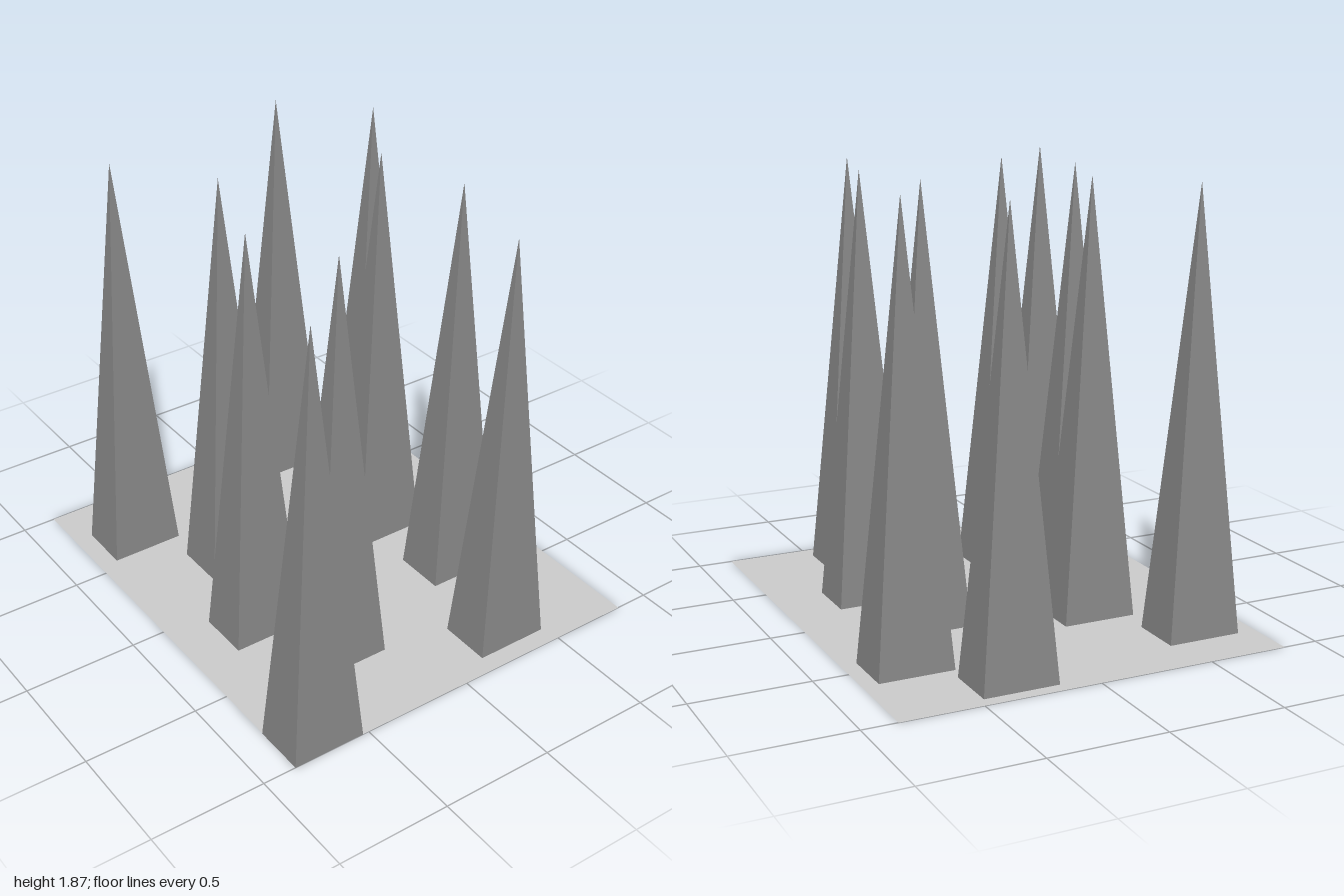
import * as THREE from 'three';

const HEIGHT = 1.87;
const SPIKE_WIDTH = 0.325;
const SPIKE_DEPTH = 0.235;

// Spike centres on the ground as [x, z]
const SPIKES = [
  [-0.603, -0.67], [0.315, -0.827], [0.617, -0.52], [-0.32, -0.295], [0.36, -0.117],
  [-0.493, 0.17], [0.455, 0.305], [-0.31, 0.52], [0.315, 0.8], [-0.69, 0.883],
];

export function createModel() {
  const model = new THREE.Group();
  model.name = 'spikeField';

  // Thin ground sheet, seen from both sides
  const sheet = new THREE.PlaneGeometry(1.7, 2).rotateX(-Math.PI / 2);
  const base = new THREE.Mesh(sheet, new THREE.MeshStandardMaterial({
    color: 0xcccccc, side: THREE.DoubleSide,
  }));
  base.name = 'basePlate';
  model.add(base);

  // One open four-sided pyramid, shared by every spike
  const pyramid = new THREE.ConeGeometry(Math.SQRT1_2, HEIGHT, 4, 1, true)
    .rotateY(Math.PI / 4)
    .scale(SPIKE_WIDTH, 1, SPIKE_DEPTH)
    .translate(0, HEIGHT / 2, 0)
    .toNonIndexed();
  pyramid.computeVertexNormals();
  const spikeMaterial = new THREE.MeshStandardMaterial({ color: 0x888888, flatShading: true });

  SPIKES.forEach(([x, z], i) => {
    const spike = new THREE.Mesh(pyramid, spikeMaterial);
    spike.name = `spike${i + 1}`;
    spike.position.set(x, 0, z);
    model.add(spike);
  });

  return model;
}
